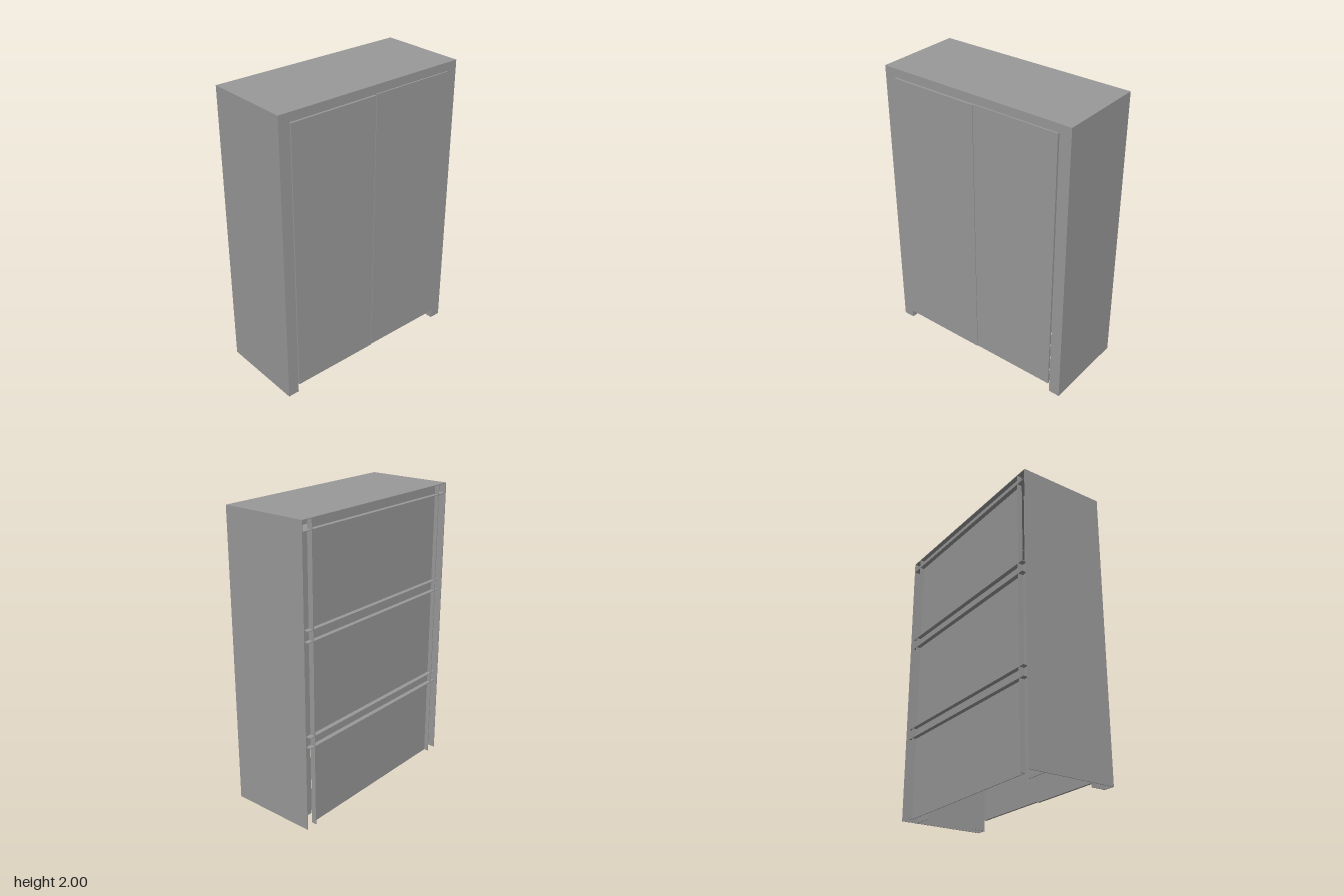
import * as THREE from 'three';

export function createModel() {
  const model = new THREE.Group();
  model.name = 'cabinet';
  const grey = new THREE.MeshStandardMaterial({ color: 0x999999 });
  grey.name = 'grey metal';

  const T = 0.005; // sheet thickness
  const W = 0.71, BACK = -0.31, FRONT = 0.3, POST = 0.63;

  // box given by its lower and upper limits on each axis
  function sheet(name, x0, x1, y0, y1, z0, z1) {
    const mesh = new THREE.Mesh(new THREE.BoxGeometry(x1 - x0, y1 - y0, z1 - z0), grey);
    mesh.position.set((x0 + x1) / 2, (y0 + y1) / 2, (z0 + z1) / 2);
    mesh.name = name;
    model.add(mesh);
  }
  // the same box on both sides, given for +x
  function pair(name, x0, x1, ...rest) {
    sheet('left' + name, x0, x1, ...rest);
    sheet('right' + name, -x1, -x0, ...rest);
  }

  // outer shell, open underneath
  sheet('topPanel', -W, W, 2 - T, 2, BACK, FRONT);
  pair('SidePanel', W - T, W, 0, 2 - T, BACK, FRONT);

  // front frame: stiles with folded returns, and a header
  pair('FrontStile', POST, W - T, 0, 2 - T, FRONT - T, FRONT);
  pair('StileReturn', POST, POST + T, 0, 1.94, FRONT - 0.1, FRONT - T);
  sheet('header', -POST, POST, 1.94, 2 - T, FRONT - T, FRONT);
  sheet('headerReturn', -POST, POST, 1.94, 1.94 + T, FRONT - 0.1, FRONT - T);

  // doors
  sheet('rightDoor', -0.63, 0.01, 0.067, 1.937, FRONT - T, 0.31);
  sheet('leftDoor', 0.014, 0.626, 0.073, 1.943, FRONT - T, 0.31);

  // recessed back, its upright flanges and the side channels
  sheet('backPanel', -POST, POST, 0, 2 - T, -0.28, -0.28 + T);
  pair('BackFlange', POST - T, POST, 0, 2 - T, BACK, -0.28);
  pair('ChannelFloor', 0.55, W - T, 0, 2 - T, -0.2, -0.2 + T);

  // horizontal ledges across the back
  sheet('topLedge', -W + T, W - T, 1.928, 1.928 + T, BACK, -0.2);
  for (const y of [1.335, 1.262, 0.637, 0.565]) {
    sheet('backRail', -0.67, 0.67, y - T / 2, y + T / 2, BACK, -0.275);
  }
  return model;
}
